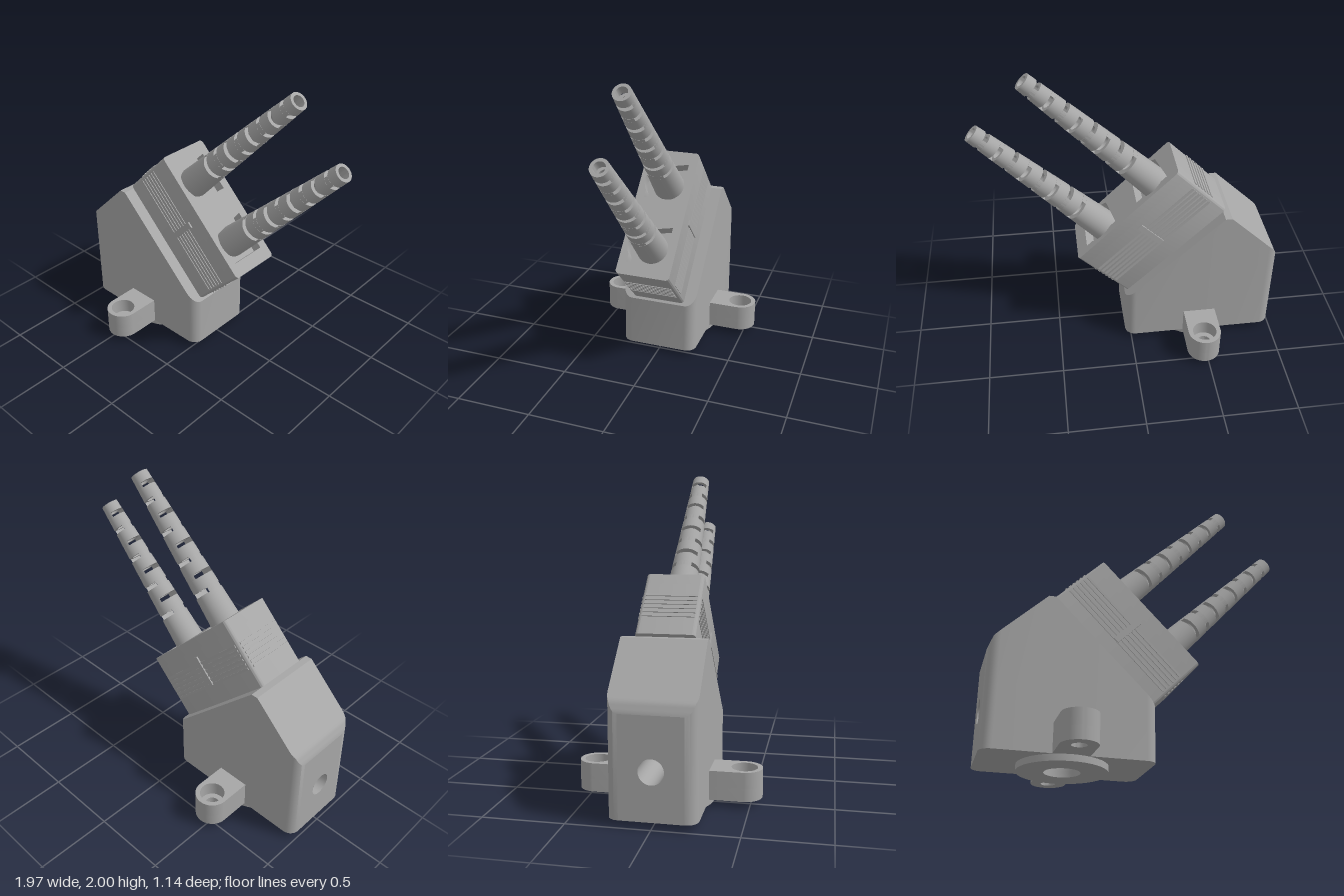
import * as THREE from 'three';
import { toCreasedNormals } from 'three/addons/utils/BufferGeometryUtils.js';

const grey = new THREE.MeshStandardMaterial({ color: 0xa6a6a6, side: THREE.DoubleSide });
grey.name = 'plastic grey';

function add(parent, name, geometry, x = 0, y = 0, z = 0) {
  const mesh = new THREE.Mesh(geometry, grey);
  mesh.name = name;
  mesh.position.set(x, y, z);
  parent.add(mesh);
  return mesh;
}

// Flat outline raised along y, starting at y = 0
function slab(shape, height) {
  const g = new THREE.ExtrudeGeometry(shape, { depth: height, bevelEnabled: false, curveSegments: 20 });
  return toCreasedNormals(g.rotateX(-Math.PI / 2), 0.6);
}

function circle(r, x = 0, y = 0) {
  return new THREE.Path().absarc(x, y, r, 0, Math.PI * 2);
}

function roundedRect(hx, hy, r, cx = 0) {
  const s = new THREE.Shape();
  s.absarc(cx + hx - r, hy - r, r, 0, Math.PI / 2);
  s.absarc(cx - hx + r, hy - r, r, Math.PI / 2, Math.PI);
  s.absarc(cx - hx + r, -hy + r, r, Math.PI, Math.PI * 1.5);
  s.absarc(cx + hx - r, -hy + r, r, Math.PI * 1.5, Math.PI * 2);
  s.closePath();
  return s;
}

const X0 = -0.99, X1 = 0.04, Y0 = 0.04, HALF = 0.26, R = 0.07, MID = -0.475;

// Housing: rounded-corner column cut off by the sloped roof planes
function housingGeometry() {
  const roof = [[X0, 0.65], [-0.96, 0.72], [-0.65, 1.02], [-0.605, 1.02], [X1, 0.385]];
  const top = x => {
    let i = 1;
    while (i < roof.length - 1 && x > roof[i][0]) i++;
    const [a, b] = [roof[i - 1], roof[i]];
    return a[1] + (b[1] - a[1]) * (x - a[0]) / (b[0] - a[0]);
  };
  const halfWidth = x => {
    const d = Math.max(0, Math.min(x - X0, X1 - x, R));
    return HALF - R + Math.sqrt(R * R - (R - d) * (R - d));
  };
  const xs = roof.map(p => p[0]);
  for (let i = 1; i <= 8; i++) {
    const d = R * (1 - Math.cos(i * Math.PI / 16));
    xs.push(X0 + d, X1 - d);
  }
  xs.sort((a, b) => a - b);
  const pos = [];
  const quad = (a, b, c, d) => pos.push(...a, ...b, ...c, ...a, ...c, ...d);
  for (let i = 0; i < xs.length - 1; i++) {
    const [p, q] = [xs[i], xs[i + 1]];
    const [w, v, s, t] = [halfWidth(p), halfWidth(q), top(p), top(q)];
    quad([p, Y0, w], [q, Y0, v], [q, t, v], [p, s, w]);
    quad([q, Y0, -v], [p, Y0, -w], [p, s, -w], [q, t, -v]);
    quad([p, s, w], [q, t, v], [q, t, -v], [p, s, -w]);
  }
  const e = HALF - R, t = top(X1);
  quad([X1, Y0, e], [X1, Y0, -e], [X1, t, -e], [X1, t, e]);
  const g = new THREE.BufferGeometry();
  g.setAttribute('position', new THREE.Float32BufferAttribute(pos, 3));
  return toCreasedNormals(g, 0.5);
}

function addHousing(parent) {
  const housing = new THREE.Group();
  housing.name = 'housing';
  parent.add(housing);
  add(housing, 'housingShell', housingGeometry());

  // End wall and floor, each with its opening
  const e = HALF - R;
  const wall = new THREE.Shape([[-e, Y0], [e, Y0], [e, 0.65], [-e, 0.65]].map(p => new THREE.Vector2(...p)));
  wall.holes.push(circle(0.075, 0, 0.33));
  add(housing, 'endWall', new THREE.ShapeGeometry(wall, 24), X0).rotation.y = -Math.PI / 2;
  const floor = roundedRect((X1 - X0) / 2, HALF, R, (X0 + X1) / 2);
  floor.holes.push(circle(0.11, MID));
  add(housing, 'floor', new THREE.ShapeGeometry(floor, 24), 0, Y0).rotation.x = Math.PI / 2;

  // Bores behind the openings
  const side = new THREE.CylinderGeometry(0.075, 0.075, 0.41, 32, 1, true).rotateZ(Math.PI / 2);
  add(housing, 'sideBore', side, X0 + 0.205, 0.33);
  add(housing, 'bottomBore', new THREE.CylinderGeometry(0.11, 0.11, 0.42, 32, 1, true), MID, Y0 + 0.21);
  add(housing, 'boreEnd', new THREE.CircleGeometry(0.11, 32).rotateX(Math.PI / 2), MID, Y0 + 0.42);

  // Round foot
  const foot = new THREE.Shape().absarc(0, 0, 0.275, 0, Math.PI * 2);
  foot.holes.push(circle(0.11));
  add(housing, 'foot', slab(foot, Y0), MID);

  // Mounting ears with counterbored screw holes
  for (const turn of [0, Math.PI]) {
    const ear = new THREE.Group();
    ear.name = turn ? 'frontMountingEar' : 'backMountingEar';
    ear.position.set(MID, Y0, 0);
    ear.rotation.y = turn;
    housing.add(ear);
    for (const [name, hole, y, h] of [['earBase', 0.045, 0, 0.08], ['earRim', 0.08, 0.08, 0.1]]) {
      const s = new THREE.Shape();
      s.moveTo(-0.11, 0.25);
      s.lineTo(0.11, 0.25);
      s.absarc(0, 0.46, 0.11, 0, Math.PI);
      s.closePath();
      s.holes.push(circle(hole, 0, 0.46));
      add(ear, name, slab(s, h), 0, y);
    }
  }
}

// Tapered sleeve: rings joined by pairs of bridges that alternate in direction
function addBoot(parent, x) {
  const boot = new THREE.Group();
  boot.name = 'cableBoot';
  boot.position.x = x;
  parent.add(boot);
  const start = 0.38, tip = 1.523, gap = 0.032, bridge = 0.58;
  const radius = y => 0.104 - 0.047 * (y - start) / (tip - start);
  const ring = (a, b) => {
    const p = (k, y) => new THREE.Vector2(k * radius(y), y);
    const profile = [p(0.65, a), p(1, a), p(1, b), p(0.65, b), p(0.65, a)];
    add(boot, 'bootRing', toCreasedNormals(new THREE.LatheGeometry(profile, 32), 0.6));
  };
  let from = start;
  for (let i = 0; i < 8; i++) {
    const y = 0.672 + i * 0.11;
    ring(from, y - gap / 2);
    for (const half of [0, Math.PI]) {
      const a = half + (i % 2) * Math.PI / 2;
      const s = new THREE.Shape().absarc(0, 0, radius(y), a - bridge, a + bridge);
      s.closePath();
      add(boot, 'bootBridge', slab(s, gap), 0, y - gap / 2);
    }
    from = y + gap / 2;
  }
  ring(from, tip);
}

function addConnector(parent) {
  const connector = new THREE.Group();
  connector.name = 'connector';
  connector.position.set(-0.298, 0.718, 0);
  connector.rotation.z = -Math.PI / 4;
  parent.add(connector);

  // Block with a recess around each boot
  const outline = () => roundedRect(0.456, 0.182, 0.025);
  add(connector, 'connectorBlock', slab(outline(), 0.38));
  const rim = outline();
  const bulge = Math.atan2(0.125, 0.083);
  for (const x of [-0.232, 0.232]) {
    const hole = new THREE.Path();
    hole.moveTo(x - 0.135, -0.125);
    hole.absarc(x, 0, 0.15, -Math.PI + bulge, -bulge);
    hole.lineTo(x + 0.135, -0.125);
    hole.lineTo(x + 0.135, 0.125);
    hole.absarc(x, 0, 0.15, bulge, Math.PI - bulge);
    hole.lineTo(x - 0.135, 0.125);
    hole.closePath();
    rim.holes.push(hole);
    addBoot(connector, x);
  }
  add(connector, 'connectorRim', slab(rim, 0.076), 0, 0.38);

  // Grip ribs on all four sides, and a bar across the long sides
  for (let i = 0; i < 6; i++) {
    const y = 0.135 + i * 0.031;
    add(connector, 'sideRib', new THREE.BoxGeometry(0.86, 0.016, 0.374), 0, y);
    add(connector, 'endRib', new THREE.BoxGeometry(0.924, 0.016, 0.32), 0, y);
  }
  add(connector, 'gripBar', new THREE.BoxGeometry(0.04, 0.21, 0.386), 0, 0.235);
}

export function createModel() {
  const model = new THREE.Group();
  model.name = 'angledCableConnector';
  addHousing(model);
  addConnector(model);
  return model;
}
